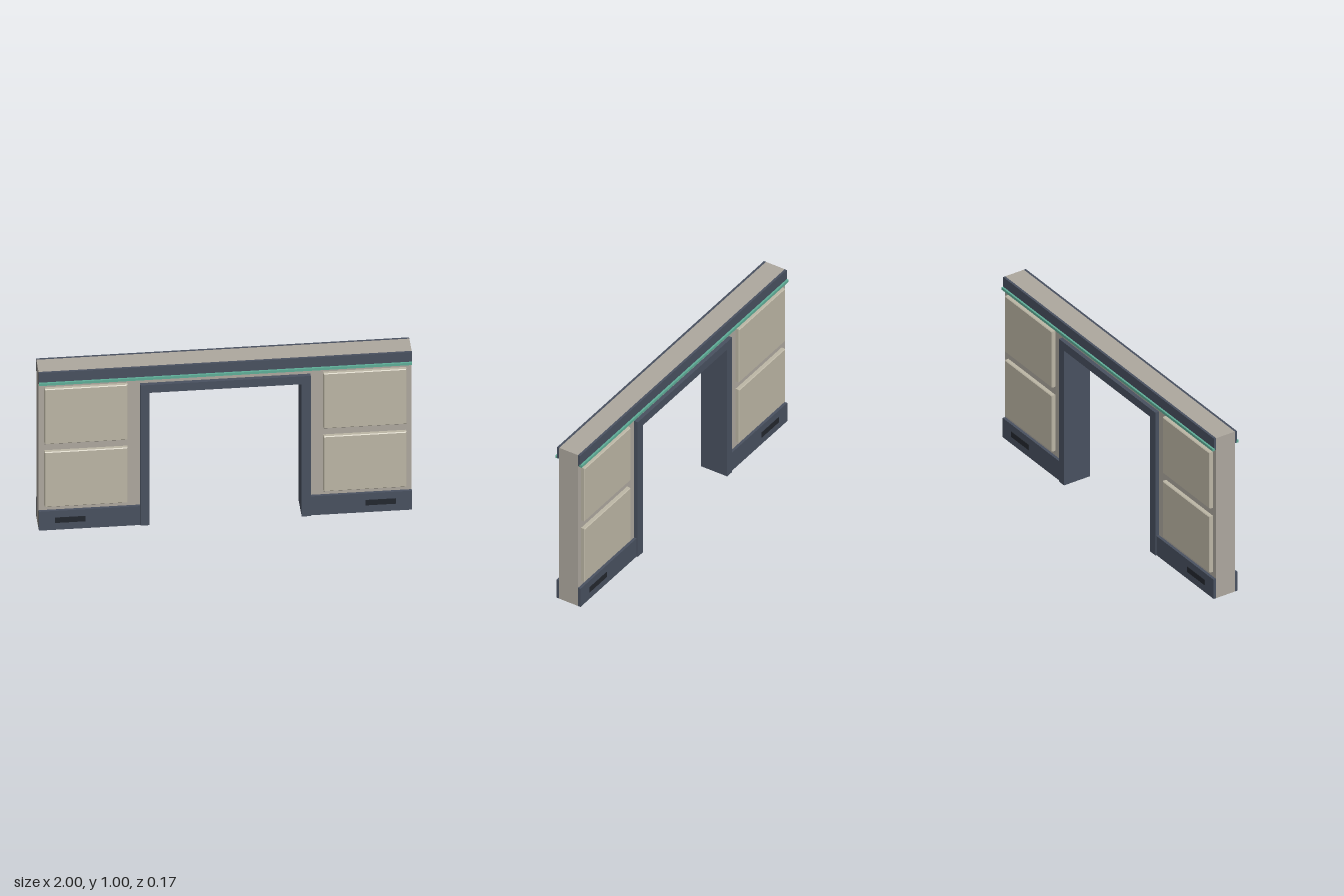
import * as THREE from 'three';

const mat = (color) => new THREE.MeshStandardMaterial({ color });

export function createModel() {
  const group = new THREE.Group();
  const wall = mat(0xaea89f), panel = mat(0xbdb7a6), dark = mat(0x495160);
  const teal = mat(0x5fae98), black = mat(0x23272e);

  const add = (name, geometry, material) => {
    const mesh = new THREE.Mesh(geometry, material);
    mesh.name = name;
    group.add(mesh);
    return mesh;
  };
  // Box given by its min and max corners
  const box = (name, material, x0, x1, y0, y1, z0, z1) =>
    add(name, new THREE.BoxGeometry(x1 - x0, y1 - y0, z1 - z0), material)
      .position.set((x0 + x1) / 2, (y0 + y1) / 2, (z0 + z1) / 2);

  // Wall core: one outline with the doorway cut from the bottom
  const outline = new THREE.Shape([
    [-1, 0], [-0.45, 0], [-0.45, 0.88], [0.45, 0.88], [0.45, 0], [1, 0], [1, 1], [-1, 1],
  ].map(([x, y]) => new THREE.Vector2(x, y)));
  add('wallCore', new THREE.ExtrudeGeometry(outline, { depth: 0.12, bevelEnabled: false }), wall)
    .position.z = -0.06;

  // Door frame: two jambs and a lintel through the full depth
  for (const s of [-1, 1]) {
    box('doorJamb', dark, s * 0.4325 - 0.0245, s * 0.4325 + 0.0245, 0, 0.892, -0.083, 0.083);
  }
  box('doorLintel', dark, -0.408, 0.408, 0.842, 0.892, -0.083, 0.083);

  // Raised panel with a chamfered front edge
  const w = 0.445, h = 0.35, b = 0.004;
  const face = new THREE.Shape([[-1, -1], [1, -1], [1, 1], [-1, 1]]
    .map(([x, y]) => new THREE.Vector2(x * (w / 2 - b), y * (h / 2 - b))));
  const panelGeometry = new THREE.ExtrudeGeometry(face, {
    depth: 0.022, bevelThickness: b, bevelSize: b, bevelSegments: 1,
  });

  // Both faces of the wall carry the same trim
  for (const f of [-1, 1]) {
    const slab = (name, material, x0, x1, y0, y1, z0, z1) =>
      box(name, material, x0, x1, y0, y1, Math.min(f * z0, f * z1), Math.max(f * z0, f * z1));

    slab('topRail', dark, -1, 1, 0.928, 1, 0.06, 0.073);
    slab('accentStrip', teal, -1, 1, 0.925, 0.94, 0.068, 0.084);

    for (const s of [-1, 1]) {
      const side = (name, material, x0, x1, ...rest) =>
        slab(name, material, Math.min(s * x0, s * x1), Math.max(s * x0, s * x1), ...rest);
      side('skirting', dark, 0.457, 1, 0, 0.12, 0.06, 0.076);
      side('vent', black, 0.75, 0.915, 0.045, 0.078, 0.07, 0.079);

      for (const y of [0.325, 0.725]) {
        const p = add('wallPanel', panelGeometry, panel);
        p.position.set(s * 0.7475, y, f * 0.057);
        if (f < 0) p.rotation.y = Math.PI;
      }
    }
  }
  return group;
}
